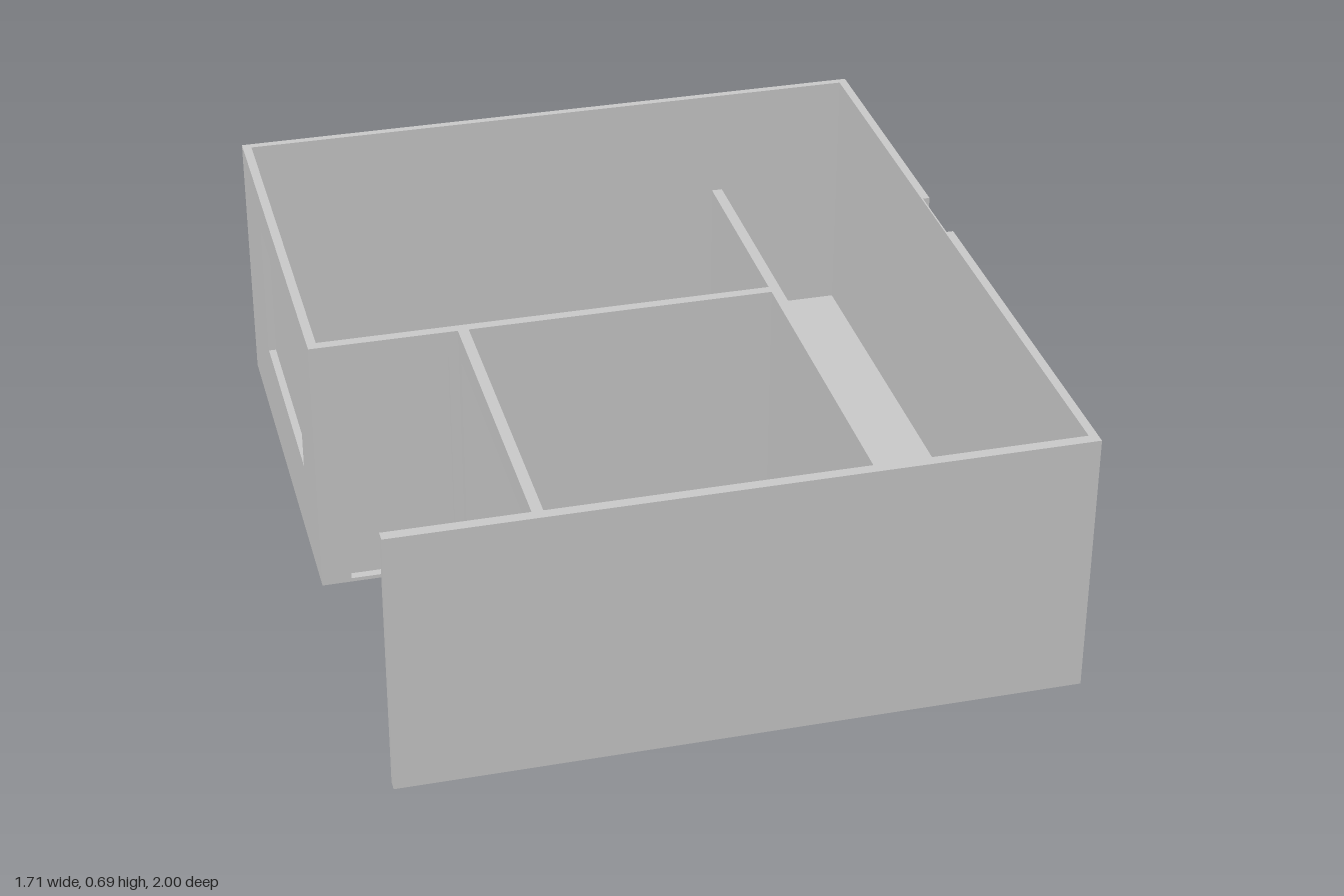
import * as THREE from 'three';

const H = 0.69;      // wall height
const FLOOR = 0.005; // floor thickness

export function createModel() {
  const group = new THREE.Group();
  const mat = new THREE.MeshStandardMaterial({ color: 0xcccccc, side: THREE.DoubleSide, flatShading: true });

  const add = (name, geo) => {
    const m = new THREE.Mesh(geo, mat);
    m.name = name;
    group.add(m);
    return m;
  };

  // Box given by its limits
  const box = (name, x0, x1, z0, z1, y0 = 0, y1 = H) => {
    const m = add(name, new THREE.BoxGeometry(x1 - x0, y1 - y0, z1 - z0));
    m.position.set((x0 + x1) / 2, (y0 + y1) / 2, (z0 + z1) / 2);
    return m;
  };

  const rect = (a, b, y0, y1) => [[a, y0], [b, y0], [b, y1], [a, y1]];
  const points = (list) => list.map(([u, y]) => new THREE.Vector2(u, y));

  // Upright wall panel from an outline of (u, y) with cut-outs
  const panel = (outline, holes, depth) => {
    const shape = new THREE.Shape(points(outline));
    for (const h of holes) shape.holes.push(new THREE.Path(points(h)));
    return new THREE.ExtrudeGeometry(shape, { depth, bevelEnabled: false });
  };

  // Wall running along z, between x0 and x1
  const wallZ = (name, x0, x1, outline, holes) => {
    const m = add(name, panel(outline, holes, x1 - x0));
    m.rotation.y = -Math.PI / 2;
    m.position.x = x1;
  };

  // Wall running along x, between z0 and z1
  const wallX = (name, z0, z1, outline, holes) => {
    add(name, panel(outline, holes, z1 - z0)).position.z = z0;
  };

  // Floors: wide back part and narrower front part
  box('backFloor', -0.85, 0.85, -1, 0.14, 0, FLOOR);
  box('frontFloor', -0.485, 0.85, 0.14, 1, 0, FLOOR);

  // Plain outer walls
  box('backWall', -0.855, 0.85, -0.985, -0.965);
  box('frontWall', -0.83, 0.85, 0.972, 1);

  // Right-hand row of rooms: dividing walls
  box('longDivider', 0.308, 0.335, -0.42, 0.972);
  box('crossDivider', -0.485, 0.308, 0.117, 0.143);

  // Wall with the window recess, closed by its inner skin
  box('sideWallInnerSkin', -0.836, -0.832, -0.965, 0.143);
  wallZ('sideWallWithWindow', -0.855, -0.836, rect(-0.985, 0.143, 0, H), [rect(-0.68, -0.08, 0.22, 0.585)]);

  // Doorway recess next to the porch
  box('porchWallInnerSkin', -0.836, -0.485, 0.117, 0.121);
  wallX('porchWallWithDoor', 0.121, 0.143, rect(-0.855, -0.485, 0, H), [rect(-0.78, -0.51, 0.01, 0.62)]);

  // Large open frame between the porch and the front room
  wallZ('openFrameWall', -0.487, -0.46, rect(0.143, 0.972, 0, H), [rect(0.18, 0.925, 0.02, 0.62)]);

  // Opposite outer wall: inner skin behind two outer lengths split by a full-height doorway
  box('entranceWallInnerSkin', 0.828, 0.832, -0.965, 0.972);
  wallZ('entranceWallBack', 0.832, 0.85, rect(-0.985, -0.24, 0, H),
    [[[-0.8, 0.26], [-0.55, 0.26], [-0.55, 0.375], [-0.8, 0.57]]]);
  wallZ('entranceWallFront', 0.832, 0.85, rect(-0.05, 1, 0, H), [
    [[0.23, 0.48], [0.48, 0.48], [0.48, 0.64], [0.23, 0.64], [0.15, 0.685], [0.15, 0.54]],
    [[-0.045, 0.685], [0.12, 0.56], [0.12, 0.665]],
  ]);

  // Slanted sliver at the foot of the doorway
  wallZ('doorwaySliver', 0.838, 0.842, [[-0.05, 0], [-0.24, 0.21], [-0.24, 0.14]], []);

  return group;
}
